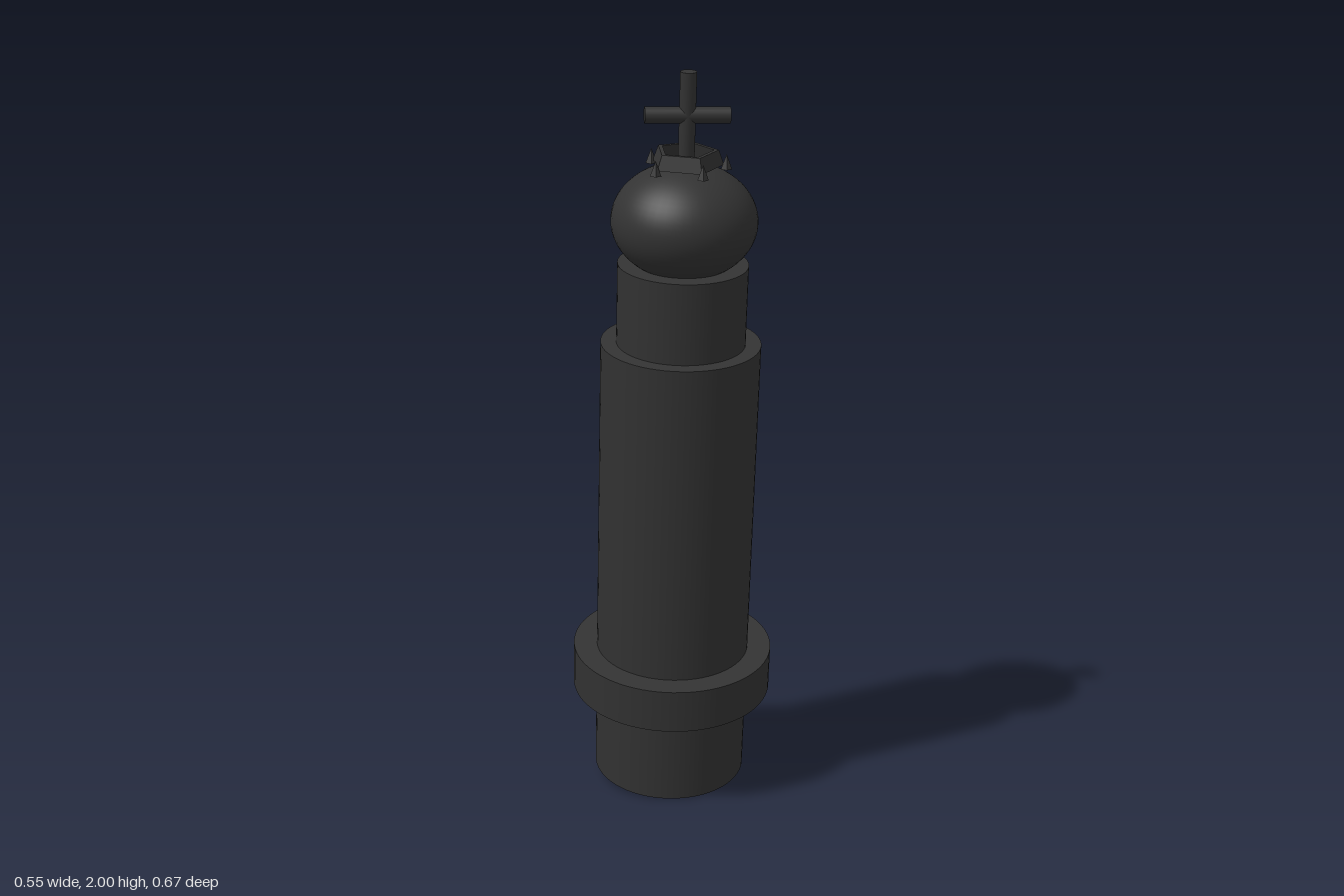
import * as THREE from 'three';

export function createModel() {
  const model = new THREE.Group();
  model.name = 'kingPiece';
  const material = new THREE.MeshStandardMaterial({ color: 0x333333 });
  const faceted = new THREE.MeshStandardMaterial({ color: 0x333333, flatShading: true });

  // Everything is built upright on its axis, then leaned forward
  const piece = new THREE.Group();
  piece.name = 'leaningPiece';
  model.add(piece);

  const add = (name, geometry, y, mat = material) => {
    const mesh = new THREE.Mesh(geometry, mat);
    mesh.name = name;
    mesh.position.y = y;
    piece.add(mesh);
    return mesh;
  };
  const drum = (name, radius, y0, y1, sides = 64) =>
    add(name, new THREE.CylinderGeometry(radius, radius, y1 - y0, sides), (y0 + y1) / 2);

  // Stepped body
  drum('body', 0.21, 0, 1.278);
  drum('baseCollar', 0.274, 0.259, 0.381);
  drum('neck', 0.169, 1.27, 1.494);

  // Flattened ball head
  const head = add('head', new THREE.SphereGeometry(0.188, 48, 32), 1.607);
  head.scale.y = 0.148 / 0.188;

  // Open five-sided crown band
  const band = [[0.082, 0], [0.096, 0], [0.082, 0.038], [0.07, 0.038], [0.082, 0]]
    .map(([r, y]) => new THREE.Vector2(r, y));
  const crown = add('crownBand', new THREE.LatheGeometry(band, 5), 1.753, faceted);
  crown.rotation.y = Math.PI / 2;
  crown.material.side = THREE.DoubleSide;

  // Small spike on each crown corner
  for (let i = 0; i < 5; i++) {
    const a = (i * Math.PI * 2) / 5;
    const spike = add('crownSpike', new THREE.ConeGeometry(0.015, 0.038, 5), 1.761, faceted);
    spike.position.x = Math.cos(a) * 0.102;
    spike.position.z = Math.sin(a) * 0.102;
    spike.rotation.y = -a;
  }

  // Cross finial
  drum('crossPost', 0.021, 1.72, 1.989, 24);
  const bar = add('crossBar', new THREE.CylinderGeometry(0.021, 0.021, 0.215, 24), 1.88);
  bar.rotation.z = Math.PI / 2;

  piece.rotation.set(0.159, -0.06, 0);
  piece.position.set(0, 0.034, -0.103);
  return model;
}
